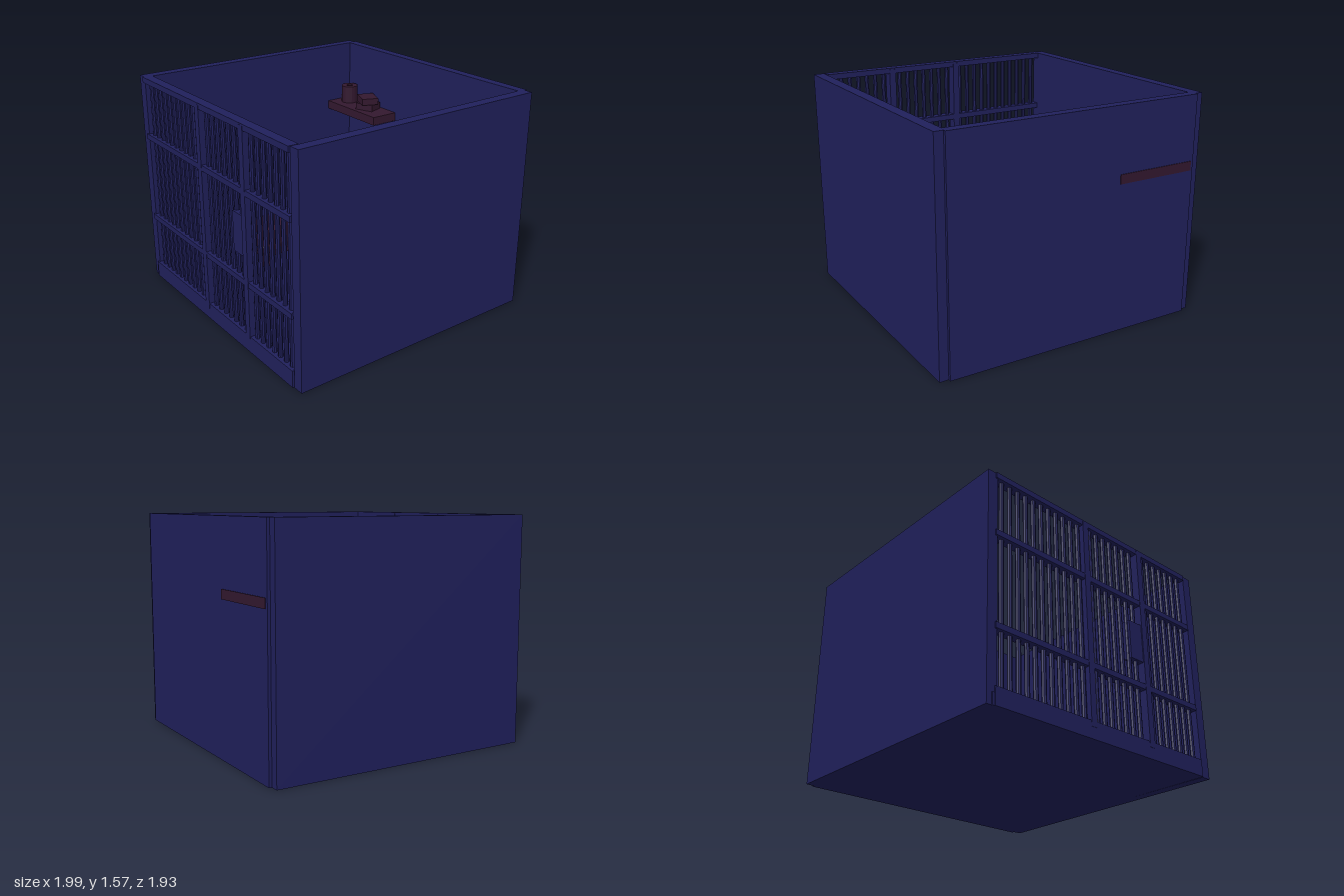
import * as THREE from 'three';
import { RoundedBoxGeometry } from 'three/addons/geometries/RoundedBoxGeometry.js';

export function createModel() {
  const model = new THREE.Group();
  const navy = new THREE.MeshStandardMaterial({ color: 0x20205c, flatShading: true });
  const maroon = new THREE.MeshStandardMaterial({ color: 0x33182f, flatShading: true, side: THREE.DoubleSide });

  function add(parent, name, geometry, material, x = 0, y = 0, z = 0) {
    const mesh = new THREE.Mesh(geometry, material);
    mesh.name = name;
    mesh.position.set(x, y, z);
    parent.add(mesh);
    return mesh;
  }
  // Box given by its limits on each axis
  function box(parent, name, material, [x0, x1], [y0, y1], [z0, z1], radius = 0) {
    const size = [x1 - x0, y1 - y0, z1 - z0];
    const geometry = radius ? new RoundedBoxGeometry(...size, 2, radius) : new THREE.BoxGeometry(...size);
    return add(parent, name, geometry, material, (x0 + x1) / 2, (y0 + y1) / 2, (z0 + z1) / 2);
  }
  function group(name) {
    const g = new THREE.Group();
    g.name = name;
    model.add(g);
    return g;
  }

  // Floor and solid walls; the side walls stand very slightly askew
  const H = 1.57;
  const room = group('room');
  box(room, 'floor', navy, [-0.94, 0.915], [0, 0.08], [-0.955, 0.955]);
  box(room, 'backWall', navy, [-0.94, 0.915], [0, H], [-0.96, -0.89]);
  for (const s of [-1, 1]) {
    const wall = box(room, s < 0 ? 'rightWall' : 'leftWall', navy,
      [s * 0.95 - 0.038, s * 0.95 + 0.038], [0, H], [-0.94, 0.95]);
    wall.rotation.y = 0.01;
  }

  // Barred front with rails, posts and a lock plate
  const front = group('barredFront');
  const depth = [0.89, 0.96];
  for (const [y0, y1] of [[0, 0.12], [0.48, 0.52], [1.11, 1.15], [1.53, H]])
    box(front, 'rail', navy, [-0.92, 0.915], [y0, y1], depth);
  for (const x of [-0.135, 0.405])
    box(front, 'post', navy, [x - 0.025, x + 0.025], [0.08, 1.56], [0.885, 0.962]);
  const barGeometry = new THREE.CylinderGeometry(0.0165, 0.0165, 1.45, 8);
  for (const [start, count] of [[-0.853, 11], [-0.068, 7], [0.467, 7]])
    for (let i = 0; i < count; i++)
      add(front, 'bar', barGeometry, navy, start + i * 0.067, 0.815, 0.925);
  box(front, 'lockPlate', navy, [0.26, 0.38], [0.68, 0.96], [0.895, 0.955]);

  // Bed with mattress, pillow and legs
  const bed = group('bed');
  box(bed, 'bedFrame', maroon, [-0.91, -0.405], [0.16, 0.21], [-0.89, 0.32]);
  box(bed, 'mattress', maroon, [-0.915, -0.4], [0.19, 0.26], [-0.89, 0.33], 0.02);
  box(bed, 'pillow', maroon, [-0.9, -0.41], [0.24, 0.29], [-0.88, -0.64], 0.02);
  for (const x of [-0.87, -0.45])
    for (const z of [-0.85, 0.28])
      box(bed, 'leg', maroon, [x - 0.035, x + 0.035], [0.08, 0.17], [z - 0.035, z + 0.035]);

  // Shelf running through the back wall, with a paper roll and two books
  const shelf = group('shelf');
  box(shelf, 'shelfBoard', maroon, [-0.92, -0.33], [1.05, 1.115], [-0.965, -0.67]);
  const ring = [[0.025, 0], [0.066, 0], [0.066, 0.135], [0.025, 0.135], [0.025, 0]];
  add(shelf, 'paperRoll', new THREE.LatheGeometry(ring.map(p => new THREE.Vector2(...p)), 16),
    maroon, -0.81, 1.115, -0.805);
  add(shelf, 'lowerBook', new THREE.BoxGeometry(0.15, 0.05, 0.13), maroon, -0.55, 1.14, -0.79).rotation.y = 0.35;
  add(shelf, 'upperBook', new THREE.BoxGeometry(0.16, 0.05, 0.13), maroon, -0.55, 1.192, -0.785).rotation.y = -0.4;

  // Toilet: faceted bowl, raised lid and tank against the back wall
  const toilet = group('toilet');
  // Outside from the floor up, over the rim and down into the basin (radius, height)
  const bowl = [[0.001, 0.08], [0.68, 0.08], [0.66, 0.18], [0.9, 0.28], [1.08, 0.37], [1.0, 0.43],
    [1.0, 0.47], [0.93, 0.485], [0.78, 0.485], [0.72, 0.46], [0.55, 0.33], [0.2, 0.26], [0.001, 0.26]];
  const bowlGeometry = new THREE.LatheGeometry(bowl.map(p => new THREE.Vector2(...p)), 8, Math.PI / 8);
  bowlGeometry.scale(0.17, 1, 0.25);
  add(toilet, 'bowl', bowlGeometry, maroon, 0.745, 0, -0.565);
  box(toilet, 'pedestalBack', maroon, [0.64, 0.85], [0.08, 0.46], [-0.86, -0.65]);
  box(toilet, 'tank', maroon, [0.61, 0.885], [0.42, 0.78], [-0.89, -0.83]);
  box(toilet, 'tankLid', maroon, [0.59, 0.905], [0.77, 0.83], [-0.89, -0.82]);
  const lid = new THREE.Shape([[-0.12, 0], [0.12, 0], [0.14, 0.08], [0.14, 0.22], [0.07, 0.31],
    [-0.07, 0.31], [-0.14, 0.22], [-0.14, 0.08]].map(p => new THREE.Vector2(...p)));
  add(toilet, 'raisedLid', new THREE.ExtrudeGeometry(lid, { depth: 0.025, bevelSize: 0.01, bevelThickness: 0.01, bevelSegments: 1 }),
    maroon, 0.75, 0.47, -0.79).rotation.x = -0.06;

  return model;
}
